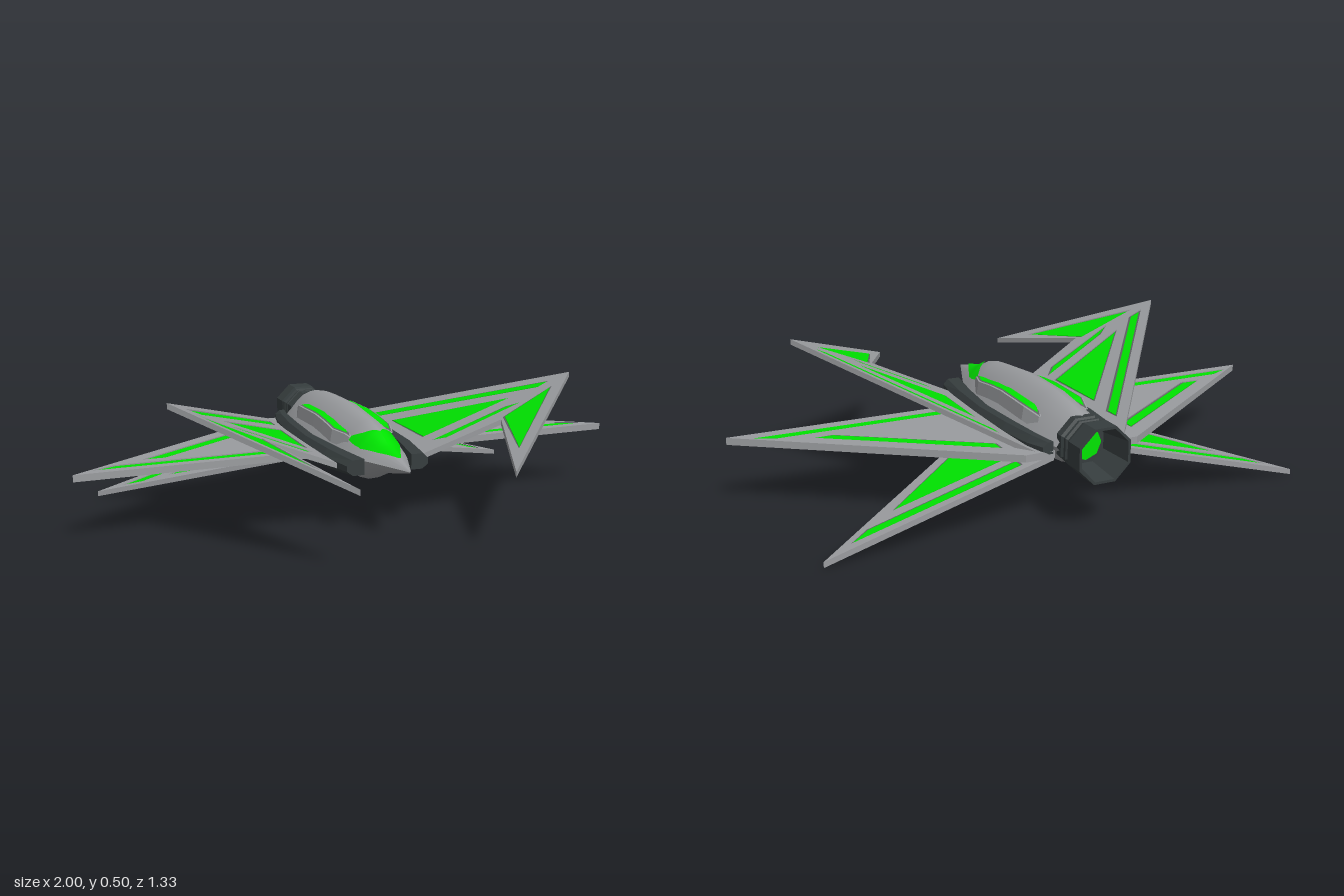
import * as THREE from 'three';

const mat = (name, color, extra = {}) => Object.assign(new THREE.MeshStandardMaterial({ color, ...extra }), { name });

// Surface through a grid of points; rows run toward +z, columns toward +x (faces up)
function gridGeometry(rows, flat = false) {
  const n = rows[0].length, index = [];
  for (let i = 0; i < rows.length - 1; i++)
    for (let j = 0; j < n - 1; j++) {
      const a = i * n + j, b = a + n;
      index.push(a, b, b + 1, a, b + 1, a + 1);
    }
  let g = new THREE.BufferGeometry();
  g.setAttribute('position', new THREE.Float32BufferAttribute(rows.flat(2), 3));
  g.setIndex(index);
  if (flat) g = g.toNonIndexed();
  g.computeVertexNormals();
  return g;
}

// Hull stations: z, half width, bottom, widest height, top
const HULL = [
  [-0.53, 0.094, 0.175, 0.25, 0.335], [-0.45, 0.12, 0.155, 0.245, 0.357],
  [-0.33, 0.136, 0.14, 0.24, 0.375], [-0.12, 0.142, 0.13, 0.238, 0.378],
  [0.1, 0.122, 0.14, 0.238, 0.358], [0.19, 0.097, 0.17, 0.245, 0.335],
  [0.27, 0.07, 0.205, 0.25, 0.298], [0.45, 0.002, 0.25, 0.254, 0.257],
];

// Linear blend of a table of rows keyed by their first value
function sample(table, z) {
  let i = 0;
  while (i < table.length - 2 && z > table[i + 1][0]) i++;
  const t = (z - table[i][0]) / (table[i + 1][0] - table[i][0]);
  return table[i].map((v, k) => THREE.MathUtils.lerp(v, table[i + 1][k], t));
}

// Table rows plus three steps between each pair
const refine = table => table.slice(1).flatMap(([z], i) =>
  [0.25, 0.5, 0.75, 1].map(t => sample(table, THREE.MathUtils.lerp(table[i][0], z, t)))).toSpliced(0, 0, table[0]);

// Height of the upper (side 1) or lower (side -1) hull skin
function hullY(x, z, side) {
  const [, w, bottom, mid, top] = sample(HULL, z);
  const f = Math.min(1, Math.abs(x) / w);
  return mid + ((side > 0 ? top : bottom) - mid) * (1 - f ** 1.7);
}

function hullHalf(side) {
  const fractions = [-1, -0.8, -0.55, -0.28, 0, 0.28, 0.55, 0.8, 1];
  return gridGeometry(HULL.map(([z, w]) =>
    fractions.map(f => [side * f * w, hullY(f * w, z, side), z])));
}

// Thin panel following the hull; rows are [z, xMin, xMax]
function hullPanel(rows, side, lift) {
  return gridGeometry(refine(rows).map(([z, a, b]) => [0, 1, 2, 3, 4].map(j => {
    const x = side > 0 ? a + (b - a) * j / 4 : b + (a - b) * j / 4;
    return [x, hullY(x, z, side) + side * lift, z];
  })));
}

const mirrorRows = (rows, s) => s > 0 ? rows : rows.map(([z, a, b]) => [z, -b, -a]);

// Level ridge along the back: z, centre x, half width
const RIDGE = [[-0.4, 0.086, 0.004], [-0.33, 0.082, 0.028], [0.03, 0.082, 0.028], [0.12, 0.078, 0.004]];

function ridgeLayer(s, inset, lift, wall) {
  return gridGeometry(refine(RIDGE).map(([z, c, h]) => {
    const half = Math.max(0, h - inset), y = hullY(c, z, 1) + lift;
    const row = [[s * (c - half), y, z], [s * (c + half), y, z]];
    if (wall) row.push([s * (c + half + 0.008), y - 0.045, z]);
    return s > 0 ? row : row.reverse();
  }), true);
}

// Wings: outline and panels as [x, z]; top surface height is y0 + slope * |x|
const WINGS = [
  {
    name: 'upperWing', y0: 0.169, slope: 0.446, thick: 0.019,
    outline: [[0.12, -0.53], [0.145, -0.53], [0.725, 0.22], [0.26, 0.665], [0.42, 0.28], [0.12, 0.19]],
    panels: [
      [[0.225, -0.205], [0.52, 0.15], [0.225, 0.07]],
      [[0.215, -0.37], [0.65, 0.19], [0.615, 0.19], [0.215, -0.32]],
      [[0.23, 0.138], [0.48, 0.203], [0.52, 0.232], [0.265, 0.175]],
      [[0.35, 0.525], [0.44, 0.27], [0.63, 0.248]],
    ],
  },
  {
    name: 'middleWing', y0: 0.24, slope: 0, thick: 0.024,
    outline: [[0.1, -0.53], [0.2, -0.53], [1, 0.03], [0.1, 0.03]],
    panels: [
      [[0.2, -0.038], [0.85, -0.038], [0.92, -0.008], [0.2, -0.008]],
      [[0.24, -0.428], [0.74, -0.088], [0.68, -0.088], [0.24, -0.388]],
    ],
  },
  {
    name: 'lowerWing', y0: 0.253, slope: -0.28, thick: 0.019,
    outline: [[0.1, -0.525], [0.85, -0.525], [0.15, -0.08], [0.1, -0.08]],
    panels: [
      [[0.2, -0.41], [0.59, -0.41], [0.2, -0.15]],
      [[0.2, -0.49], [0.75, -0.49], [0.69, -0.457], [0.2, -0.457]],
    ],
  },
];

// Grow a convex polygon by d, limiting the reach of sharp corners
function outset(poly, d) {
  const v = poly.map(([x, z]) => new THREE.Vector2(x, z));
  const turn = THREE.ShapeUtils.area(v) > 0 ? 1 : -1;
  const normal = (a, b) => new THREE.Vector2(b.y - a.y, a.x - b.x).normalize().multiplyScalar(turn);
  return v.map((p, i) => {
    const n = normal(v.at(i - 1), p), m = n.clone().add(normal(p, v[(i + 1) % v.length])).normalize();
    const q = m.clone().multiplyScalar(Math.min(d / m.dot(n), d * 2)).add(p);
    return [q.x, q.y];
  });
}

function plate(outline, holes, s, bottom, depth, wing) {
  const pts = list => list.map(([x, z]) => new THREE.Vector2(s * x, -z));
  const shape = new THREE.Shape(pts(outline));
  shape.holes = holes.map(h => new THREE.Path(pts(h)));
  const g = new THREE.ExtrudeGeometry(shape, { depth, bevelEnabled: false }).rotateX(-Math.PI / 2);
  const p = g.attributes.position;
  for (let i = 0; i < p.count; i++)
    p.setY(i, p.getY(i) + bottom + wing.y0 + wing.slope * Math.abs(p.getX(i)));
  g.computeVertexNormals();
  return g;
}

// Side rail stations: z, inner x, outer x, centre height, half height
const RAIL = [
  [-0.53, 0.105, 0.142, 0.25, 0.02], [-0.45, 0.12, 0.16, 0.24, 0.032],
  [-0.3, 0.13, 0.177, 0.235, 0.036], [-0.1, 0.135, 0.183, 0.23, 0.037],
  [0.1, 0.115, 0.172, 0.23, 0.036], [0.27, 0.085, 0.148, 0.235, 0.027],
];

function railGeometry(s) {
  const rows = RAIL.map(([z, a, b, y, h]) => {
    const ring = [[a, h], [b - 0.018, h], [b, h * 0.3], [b, -h * 0.4], [b - 0.022, -h], [a, -h], [a, h]]
      .map(([x, dy]) => [s * x, y + dy, z]);
    return s > 0 ? ring : ring.reverse();
  });
  const cap = ([z, a, b, y]) => Array(7).fill([s * (a + b) / 2, y, z]);
  return gridGeometry([cap(RAIL[0]), ...rows, cap(RAIL.at(-1))], true);
}

export function createModel() {
  const gray = mat('hullGray', 0x9a9c9f);
  const trim = mat('trimGray', 0x606265);
  const dark = mat('darkMetal', 0x363d3e, { side: THREE.DoubleSide });
  const green = mat('glowGreen', 0x00e400);
  const model = new THREE.Group();
  const add = (name, geometry, material, parent = model) => {
    const m = new THREE.Mesh(geometry, material);
    m.name = name;
    parent.add(m);
  };

  // Fuselage
  add('hullTop', hullHalf(1), gray);
  add('hullBottom', hullHalf(-1), gray);
  add('bellyPanel', hullPanel([[-0.22, -0.042, 0.042], [-0.085, -0.055, 0.055]], -1, 0.004), green);

  for (const s of [1, -1]) {
    const side = s > 0 ? 'left' : 'right';

    // Canopy half, back ridge with its long panel, and side rail
    add(side + 'Canopy', hullPanel(mirrorRows([[0.12, 0.073, 0.084], [0.16, 0.045, 0.08], [0.2, 0, 0.073],
      [0.28, 0, 0.04], [0.365, 0, 0.004]], s), 1, 0.005), green);
    add(side + 'Ridge', ridgeLayer(s, 0, 0.008, true), gray);
    add(side + 'RidgeTrim', ridgeLayer(s, 0.005, 0.01, false), trim);
    add(side + 'RidgePanel', ridgeLayer(s, 0.01, 0.012, false), green);
    add(side + 'Rail', railGeometry(s), dark);

    // Wings with sunken green panels in dark surrounds
    for (const w of WINGS) {
      const wing = new THREE.Group();
      wing.name = side + w.name[0].toUpperCase() + w.name.slice(1);
      const recess = 0.006, holes = w.panels.map(p => outset(p, 0.008));
      add('wingSlab', plate(w.outline, [], s, -w.thick, w.thick - recess, w), gray, wing);
      add('wingFrame', plate(w.outline, holes, s, -recess, recess, w), gray, wing);
      w.panels.forEach((p, i) => {
        add('panelTrim', plate(holes[i], [], s, -recess, 0.002, w), trim, wing);
        add('wingPanel', plate(p, [], s, -recess, 0.004, w), green, wing);
      });
      model.add(wing);
    }
  }

  // Engine nozzle: collar, two rings and a deep hollow bell
  const profile = [[0, 0.51], [0.09, 0.51], [0.092, 0.54], [0.083, 0.548], [0.09, 0.556], [0.09, 0.566],
    [0.083, 0.573], [0.092, 0.585], [0.097, 0.6], [0.097, 0.668], [0.088, 0.668], [0.07, 0.545], [0, 0.545]]
    .map(([r, d]) => new THREE.Vector2(r, d));
  const nozzle = new THREE.LatheGeometry(profile, 8, Math.PI / 8).toNonIndexed();
  nozzle.computeVertexNormals();
  add('nozzle', nozzle.rotateX(-Math.PI / 2).translate(0, 0.253, 0), dark);
  add('nozzleGlow', new THREE.CircleGeometry(0.055, 8).rotateY(Math.PI).translate(0, 0.253, -0.549), green);

  return model;
}
